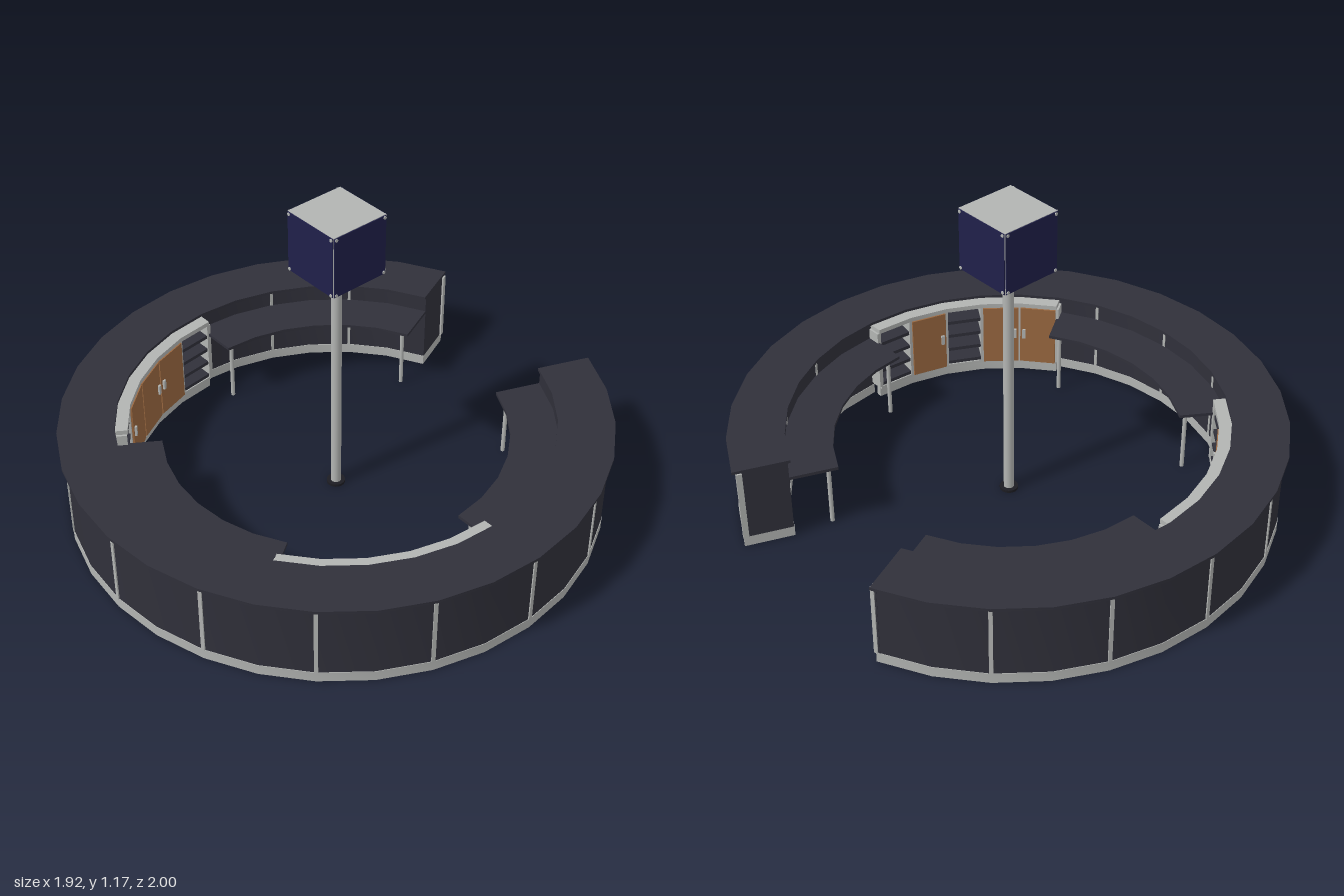
import * as THREE from 'three';
import { toCreasedNormals } from 'three/addons/utils/BufferGeometryUtils.js';

const mat = (name, color) => {
  const m = new THREE.MeshStandardMaterial({ color });
  m.name = name;
  return m;
};

export function createModel() {
  const charcoal = mat('charcoal laminate', 0x30303a);
  const metal = mat('brushed metal', 0xb2b4b2);
  const wood = mat('wood', 0x9a6840);
  const navy = mat('navy panel', 0x20204a);
  const black = mat('black fitting', 0x1c1c22);

  const model = new THREE.Group();
  const CX = 0.038; // ring centre
  const STEP = 11.25, START = 22.5, END = 337.5;

  const group = (name) => {
    const g = new THREE.Group();
    g.name = name;
    g.position.x = CX;
    model.add(g);
    return g;
  };
  const add = (parent, name, geo, material, x = 0, y = 0, z = 0) => {
    const m = new THREE.Mesh(geo, material);
    m.name = name;
    m.position.set(x, y, z);
    parent.add(m);
    return m;
  };

  // Ring sector between two radii, heights and angles (degrees, 90 = back)
  const sector = (parent, name, material, r0, r1, y0, y1, a0, a1) => {
    const n = Math.max(1, Math.round((a1 - a0) / STEP));
    const pts = [];
    const point = (r, i) => {
      const a = THREE.MathUtils.degToRad(a0 + (a1 - a0) * i / n);
      pts.push(new THREE.Vector2(r * Math.cos(a), r * Math.sin(a)));
    };
    for (let i = 0; i <= n; i++) point(r1, i);
    for (let i = n; i >= 0; i--) point(r0, i);
    const geo = new THREE.ExtrudeGeometry(new THREE.Shape(pts), { depth: y1 - y0, bevelEnabled: false });
    geo.rotateX(-Math.PI / 2);
    return add(parent, name, toCreasedNormals(geo, 0.5), material, 0, y0, 0);
  };

  // Counter: hollow ring of two walls under a thin top
  const counter = group('counter');
  sector(counter, 'counterTop', charcoal, 0.795, 1, 0.324, 0.335, START, END);
  sector(counter, 'outerWall', charcoal, 0.968, 0.983, 0.04, 0.324, START, END);
  sector(counter, 'outerPlinth', metal, 0.968, 0.985, 0, 0.04, START, END);
  for (let a = START; a <= END; a += 22.5) {
    sector(counter, 'outerStrip', metal, 0.966, 0.987, 0.04, 0.324, a - 0.4, a + 0.4);
  }
  for (const a of [START, END - 0.8]) {
    sector(counter, 'endPanel', charcoal, 0.806, 0.983, 0.04, 0.324, a, a + 0.8);
    sector(counter, 'endPlinth', metal, 0.806, 0.983, 0, 0.04, a, a + 0.8);
  }

  // Desks with the inner wall behind them
  for (const [a0, a1] of [[START, 90], [146.25, 213.75], [270, END]]) {
    const desk = group('desk');
    sector(desk, 'innerWall', charcoal, 0.805, 0.82, 0.04, 0.324, a0, a1);
    sector(desk, 'innerPlinth', metal, 0.803, 0.82, 0, 0.04, a0, a1);
    sector(desk, 'deskTop', charcoal, 0.63, 0.806, 0.25, 0.262, a0, a1);
    for (let a = START; a <= END; a += 22.5) {
      if (a > a0 && a < a1) sector(desk, 'innerStrip', metal, 0.802, 0.822, 0.04, 0.324, a - 0.4, a + 0.4);
    }
    for (const d of [a0 + 3, a1 - 3]) {
      const a = THREE.MathUtils.degToRad(d);
      add(desk, 'deskLeg', new THREE.CylinderGeometry(0.008, 0.008, 0.25, 12), metal,
        0.66 * Math.cos(a), 0.125, -0.66 * Math.sin(a));
    }
  }

  // Cabinets: five bays each, S = open shelves, L / R = door with handle at its low / high angle
  for (const [start, bays] of [[90, 'SRLRS'], [213.75, 'RLSLS']]) {
    const cabinet = group('cabinet');
    const end = start + 5 * STEP;
    sector(cabinet, 'cabinetBase', metal, 0.765, 0.785, 0, 0.04, start, end);
    sector(cabinet, 'cabinetFloor', metal, 0.755, 0.87, 0.04, 0.052, start, end);
    sector(cabinet, 'cabinetRoof', metal, 0.75, 0.87, 0.304, 0.322, start, end);
    sector(cabinet, 'cabinetBack', metal, 0.862, 0.87, 0.052, 0.304, start, end);
    for (let i = 0; i <= 5; i++) {
      const a = start + i * STEP;
      sector(cabinet, 'divider', metal, 0.753, 0.862, 0.052, 0.304, a - 0.6, a + 0.6);
    }
    [...bays].forEach((kind, i) => {
      const a0 = start + i * STEP, a1 = a0 + STEP;
      if (kind === 'S') {
        for (const y of [0.053, 0.115, 0.178, 0.24]) {
          sector(cabinet, 'shelf', charcoal, 0.758, 0.862, y, y + 0.014, a0 + 0.6, a1 - 0.6);
        }
      } else {
        sector(cabinet, 'door', wood, 0.746, 0.756, 0.05, 0.302, a0 + 0.25, a1 - 0.25);
        const h = kind === 'L' ? a0 + 1.4 : a1 - 1.4;
        sector(cabinet, 'handle', metal, 0.737, 0.746, 0.165, 0.205, h - 0.5, h + 0.5);
      }
    });
  }

  // Central post and sign cube
  const sign = group('sign');
  add(sign, 'postFoot', new THREE.CylinderGeometry(0.034, 0.034, 0.01, 24), black, 0, 0.005);
  add(sign, 'post', new THREE.CylinderGeometry(0.019, 0.019, 0.9, 24), metal, 0, 0.455);
  add(sign, 'collar', new THREE.CylinderGeometry(0.023, 0.023, 0.045, 24), black, 0, 0.92);
  const cube = new THREE.Group();
  cube.name = 'signCube';
  cube.position.y = 1.058;
  sign.add(cube);
  add(cube, 'signBody', new THREE.BoxGeometry(0.23, 0.234, 0.23), metal);
  for (let i = 0; i < 4; i++) {
    const face = new THREE.Group();
    face.name = 'signFace';
    face.rotation.y = i * Math.PI / 2;
    cube.add(face);
    add(face, 'signPanel', new THREE.BoxGeometry(0.226, 0.23, 0.004), navy, 0, 0, 0.116);
    for (const x of [-0.106, 0.106]) for (const y of [-0.108, 0.108]) {
      const stud = add(face, 'cornerStud', new THREE.CylinderGeometry(0.006, 0.006, 0.004, 10), metal, x, y, 0.119);
      stud.rotation.x = Math.PI / 2;
    }
  }
  return model;
}
